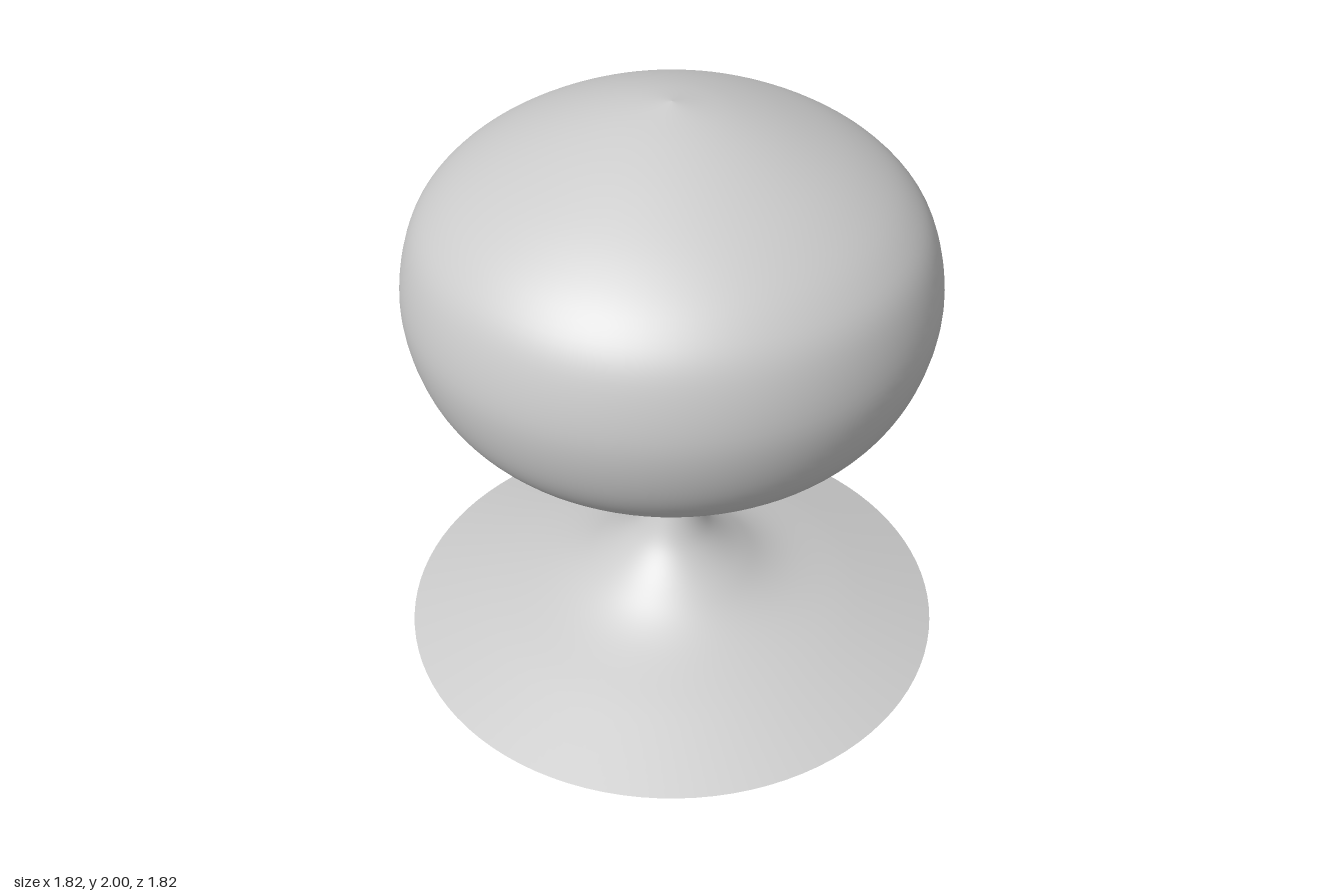
import * as THREE from 'three';

const material = new THREE.MeshStandardMaterial({ color: 0xcccccc, side: THREE.DoubleSide });

// Smooth thin shell turned around the y axis, profile listed from bottom to top
function turnedShell(name, profile, divisions) {
  const curve = new THREE.SplineCurve(profile.map(([r, y]) => new THREE.Vector2(r, y)));
  const points = curve.getPoints(divisions);
  points.forEach((p) => { p.x = Math.max(p.x, 0); });
  const mesh = new THREE.Mesh(new THREE.LatheGeometry(points, 96), material);
  mesh.name = name;
  return mesh;
}

export function createModel() {
  const model = new THREE.Group();
  model.name = 'tableLamp';

  // Flared hollow foot rising into a slim neck and a small open cup
  model.add(turnedShell('base', [
    [0.91, 0], [0.64, 0.09], [0.39, 0.17], [0.25, 0.25], [0.14, 0.35],
    [0.085, 0.46], [0.065, 0.55], [0.09, 0.597], [0.175, 0.65],
  ], 64));

  // Floating bulbous shade: dimpled underside with a hole, pointed crown
  model.add(turnedShell('shade', [
    [0.1, 0.84], [0.2, 0.826], [0.33, 0.818], [0.42, 0.836], [0.56, 0.902],
    [0.71, 1.01], [0.805, 1.16], [0.845, 1.36], [0.808, 1.56], [0.72, 1.69],
    [0.57, 1.8], [0.37, 1.897], [0.18, 1.963], [0, 2],
  ], 78));

  return model;
}
